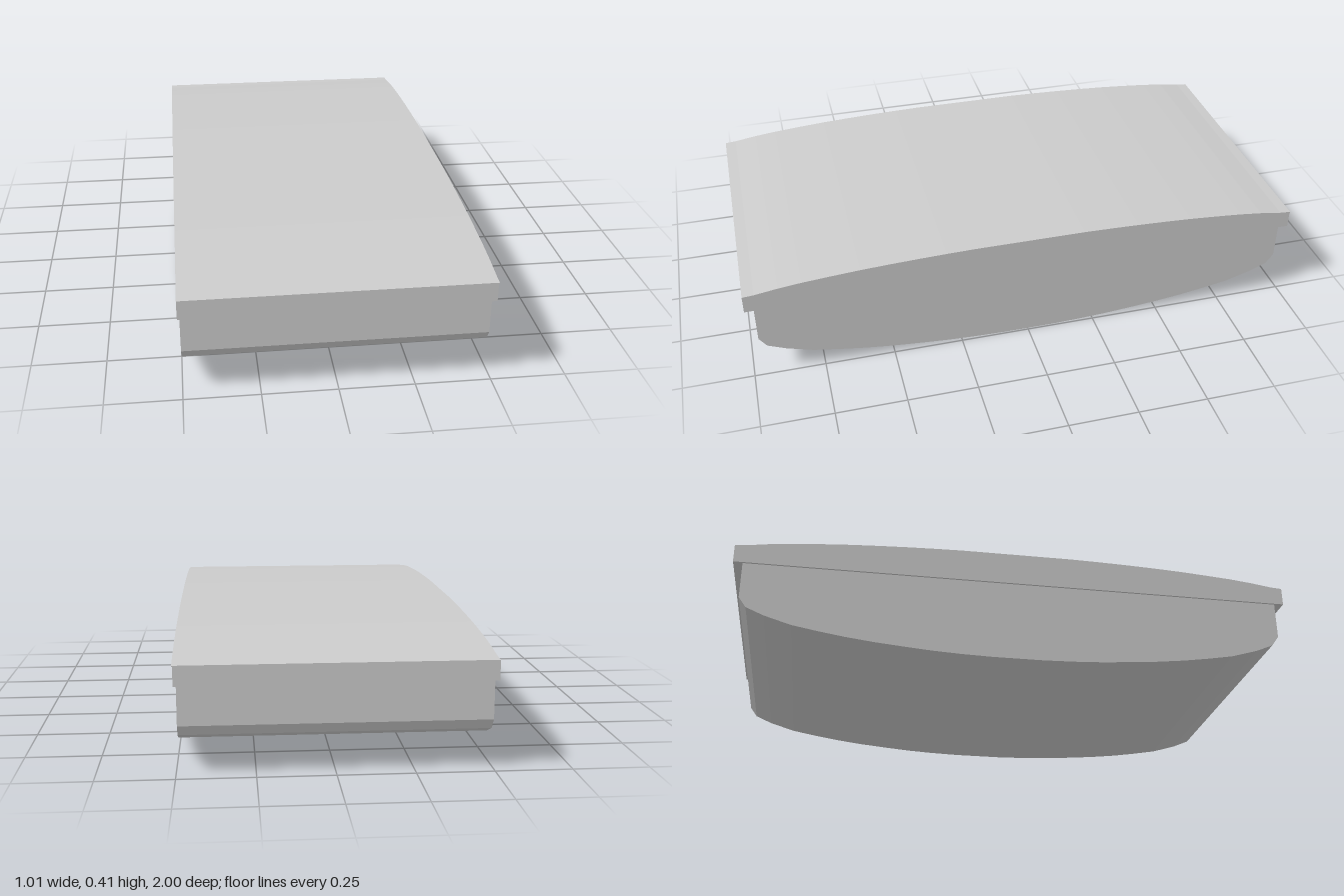
import * as THREE from 'three';

const material = new THREE.MeshStandardMaterial({ color: 0xcccccc, flatShading: true });

// Extrudes a front-to-back symmetric outline (half given as [z, y]) from x0 to x1.
function slab(name, half, x0, x1) {
  const mirrored = half.filter(([z]) => z > 0).reverse().map(([z, y]) => [-z, y]);
  const outline = [...half, ...mirrored].map(([z, y]) => new THREE.Vector2(z, y));
  const geometry = new THREE.ExtrudeGeometry(new THREE.Shape(outline), {
    depth: x1 - x0, bevelEnabled: false,
  });
  geometry.rotateY(Math.PI / 2);
  geometry.translate(x0, 0, 0);
  const mesh = new THREE.Mesh(geometry, material);
  mesh.name = name;
  return mesh;
}

export function createModel() {
  const group = new THREE.Group();
  group.name = 'curvedBlock';

  // Lower body with a bowed underside
  group.add(slab('body', [
    [0.968, 0.294], [0.968, 0.16], [0.942, 0.124], [0.88, 0.097], [0.785, 0.068],
    [0.69, 0.051], [0.6, 0.037], [0.5, 0.025], [0.4, 0.016], [0.3, 0.008],
    [0.2, 0.003], [0.09, 0],
  ], -0.498, 0.493));

  // Overhanging rim band
  group.add(slab('rim', [[1, 0.36], [1, 0.294]], -0.505, 0.501));

  // Gently arched lid
  group.add(slab('lid', [
    [0.2, 0.413], [0.3, 0.411], [0.4, 0.408], [0.5, 0.404], [0.6, 0.399], [0.7, 0.392],
    [0.8, 0.384], [0.88, 0.375], [0.96, 0.363], [1, 0.36], [1, 0.356],
  ], -0.504, 0.504));

  return group;
}
